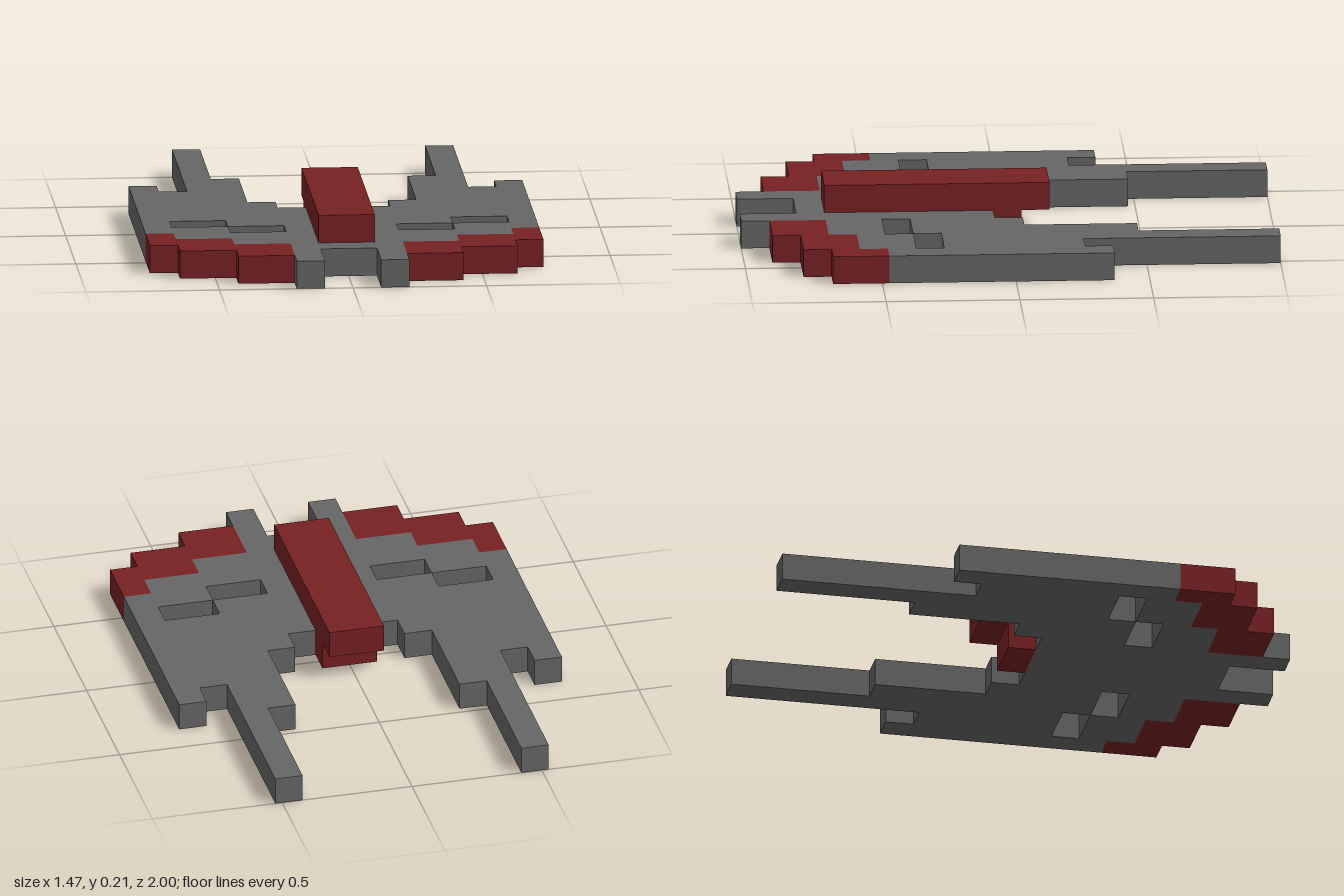
import * as THREE from 'three';

const U = 2 / 19; // one block; the model is 19 blocks long

const grey = new THREE.MeshStandardMaterial({ color: 0x666666 });
grey.name = 'hull grey';
const red = new THREE.MeshStandardMaterial({ color: 0x782123 });
red.name = 'dark red';

// Grid coordinates: x in blocks from the centre, r in blocks from the back end
const toPoint = ([x, r]) => new THREE.Vector2(x * U, (r - 9.5) * U);
const mirror = (points) => points.map(([x, r]) => [-x, r]).reverse();

// One-block-thick plate lying on the ground
function plate(name, outline, material, holes = []) {
  const shape = new THREE.Shape(outline.map(toPoint));
  shape.holes = holes.map((h) => new THREE.Path(h.map(toPoint)));
  const geometry = new THREE.ExtrudeGeometry(shape, { depth: U, bevelEnabled: false });
  geometry.rotateX(Math.PI / 2).translate(0, U, 0);
  const mesh = new THREE.Mesh(geometry, material);
  mesh.name = name;
  return mesh;
}

// Block spanning x = -1..1, from row r0 to r1, on layer y
function block(name, r0, r1, y, material) {
  const mesh = new THREE.Mesh(new THREE.BoxGeometry(2 * U, U, (r1 - r0) * U), material);
  mesh.position.set(0, (y + 0.5) * U, ((r0 + r1) / 2 - 9.5) * U);
  mesh.name = name;
  return mesh;
}

const rect = (x0, x1, r0, r1) => [[x0, r0], [x1, r0], [x1, r1], [x0, r1]];

export function createModel() {
  const model = new THREE.Group();
  model.name = 'blockShip';

  // Hull with rear prongs, side fins and front tips
  const half = [
    [2, 10], [2, 9], [3, 9], [3, 5], [4, 5], [4, 0], [5, 0], [5, 7], [6, 7], [6, 6],
    [7, 6], [7, 14], [6, 14], [6, 15], [4, 15], [4, 16], [2, 16], [2, 19], [1, 19], [1, 17],
  ];
  // Stepped slots; a hair of clearance keeps the two from touching at a corner
  const e = 0.005;
  const slots = [rect(2, 4 - e, 13 + e, 14), rect(4 + e, 6, 12, 13 - e)];
  model.add(plate('hull', [...half, ...mirror(half)], grey, [...slots, ...slots.map(mirror)]));

  // Stepped red trim on the front corners
  const trim = [
    [7, 14], [7, 16], [6, 16], [6, 17], [4, 17], [4, 18],
    [2, 18], [2, 16], [4, 16], [4, 15], [6, 15], [6, 14],
  ];
  model.add(plate('leftTrim', trim, red), plate('rightTrim', mirror(trim), red));

  // Raised spine and the small block under its rear overhang
  model.add(block('spine', 8, 16, 1, red), block('spineSupport', 9, 10, 0, red));

  return model;
}
